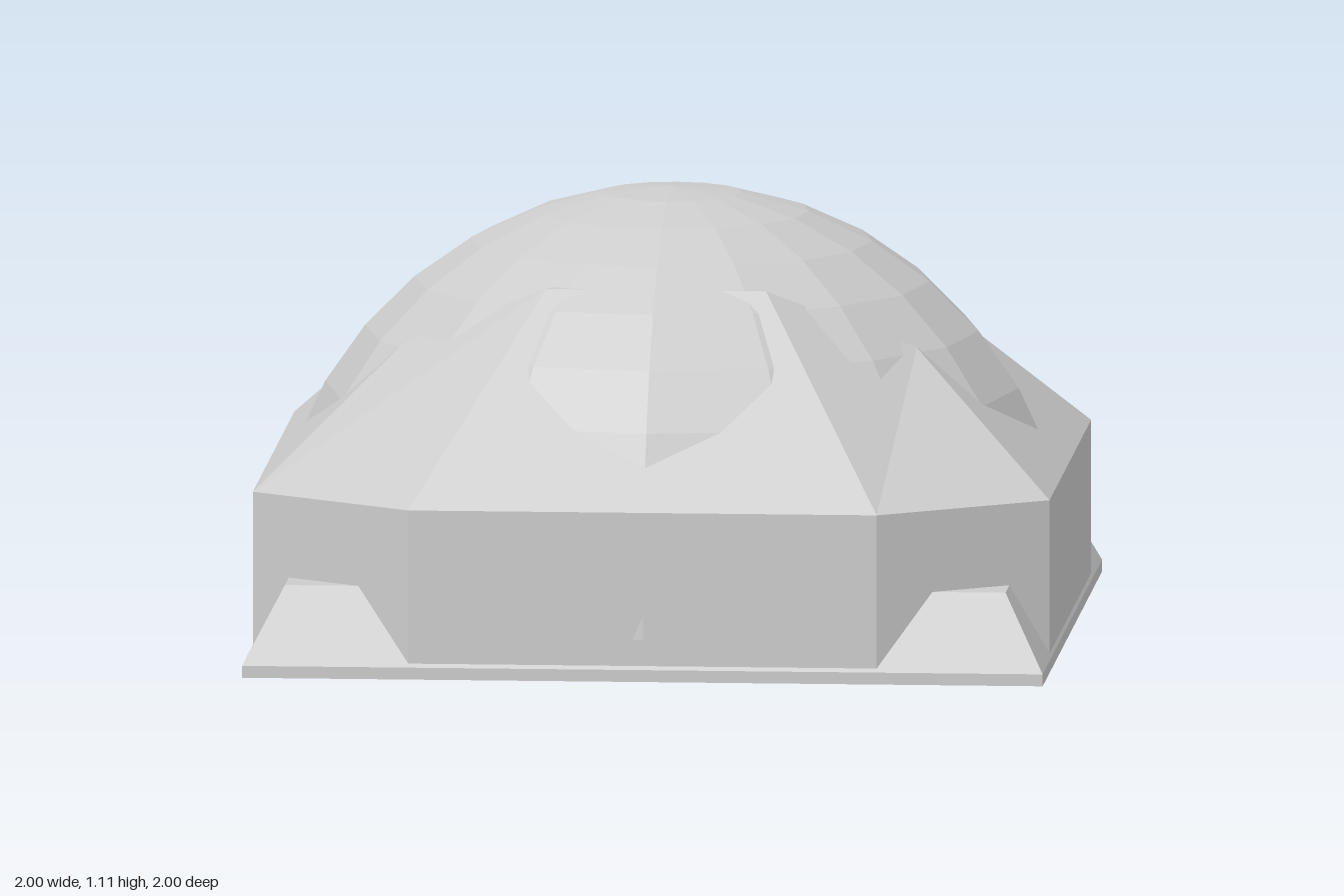
import * as THREE from 'three';

const material = new THREE.MeshStandardMaterial({ color: 0xcccccc, flatShading: true });

// Eight-point ring at height; p sits by the x sides, q by the z sides
function ring(p, q) {
  const points = [];
  for (const [sx, sz] of [[1, 1], [-1, 1], [-1, -1], [1, -1]]) {
    const pair = [p, q].map(([x, y, z]) => [x * sx, y, z * sz]);
    if (sx * sz < 0) pair.reverse();
    points.push(...pair);
  }
  return points;
}

// Faceted skin between successive rings, closed by a point on the axis
function loft(rings, capY) {
  const pos = [];
  const n = rings[0].length;
  for (let r = 0; r < rings.length - 1; r++) {
    for (let i = 0; i < n; i++) {
      const j = (i + 1) % n;
      const [l0, l1, u0, u1] = [rings[r][i], rings[r][j], rings[r + 1][i], rings[r + 1][j]];
      pos.push(...l1, ...l0, ...u0, ...l1, ...u0, ...u1);
    }
  }
  const top = rings[rings.length - 1];
  for (let i = 0; i < n; i++) pos.push(...top[(i + 1) % n], ...top[i], 0, capY, 0);
  const geometry = new THREE.BufferGeometry();
  geometry.setAttribute('position', new THREE.Float32BufferAttribute(pos, 3));
  geometry.computeVertexNormals();
  return geometry;
}

export function createModel() {
  const group = new THREE.Group();
  const add = (name, geometry, y = 0) => {
    const mesh = new THREE.Mesh(geometry, material);
    mesh.name = name;
    mesh.position.y = y;
    group.add(mesh);
  };

  // Thin square ground slab
  add('baseSlab', new THREE.BoxGeometry(2, 0.03, 2), 0.015);

  // Sloped plinth whose corners show past the walls
  const plinth = new THREE.CylinderGeometry(0.9 * Math.SQRT2, Math.SQRT2, 0.19, 4);
  plinth.rotateY(Math.PI / 4);
  add('plinth', plinth, 0.125);

  // Upright walls with cut corners
  const floor = ring([0.995, 0.03, 0.7], [0.585, 0.03, 0.995]);
  const eaves = ring([0.995, 0.425, 0.7], [0.585, 0.425, 0.995]);
  add('walls', loft([floor, eaves], 0.425));

  // Sloping roof that folds in towards the dome
  const crown = ring([0.64, 0.76, 0.385], [0.275, 0.92, 0.54]);
  add('roof', loft([eaves, crown], 0.92));

  // Faceted dome rising through the roof
  add('dome', new THREE.SphereGeometry(1, 16, 9, 0, Math.PI * 2, 0, Math.PI / 2), 0.105);

  return group;
}
